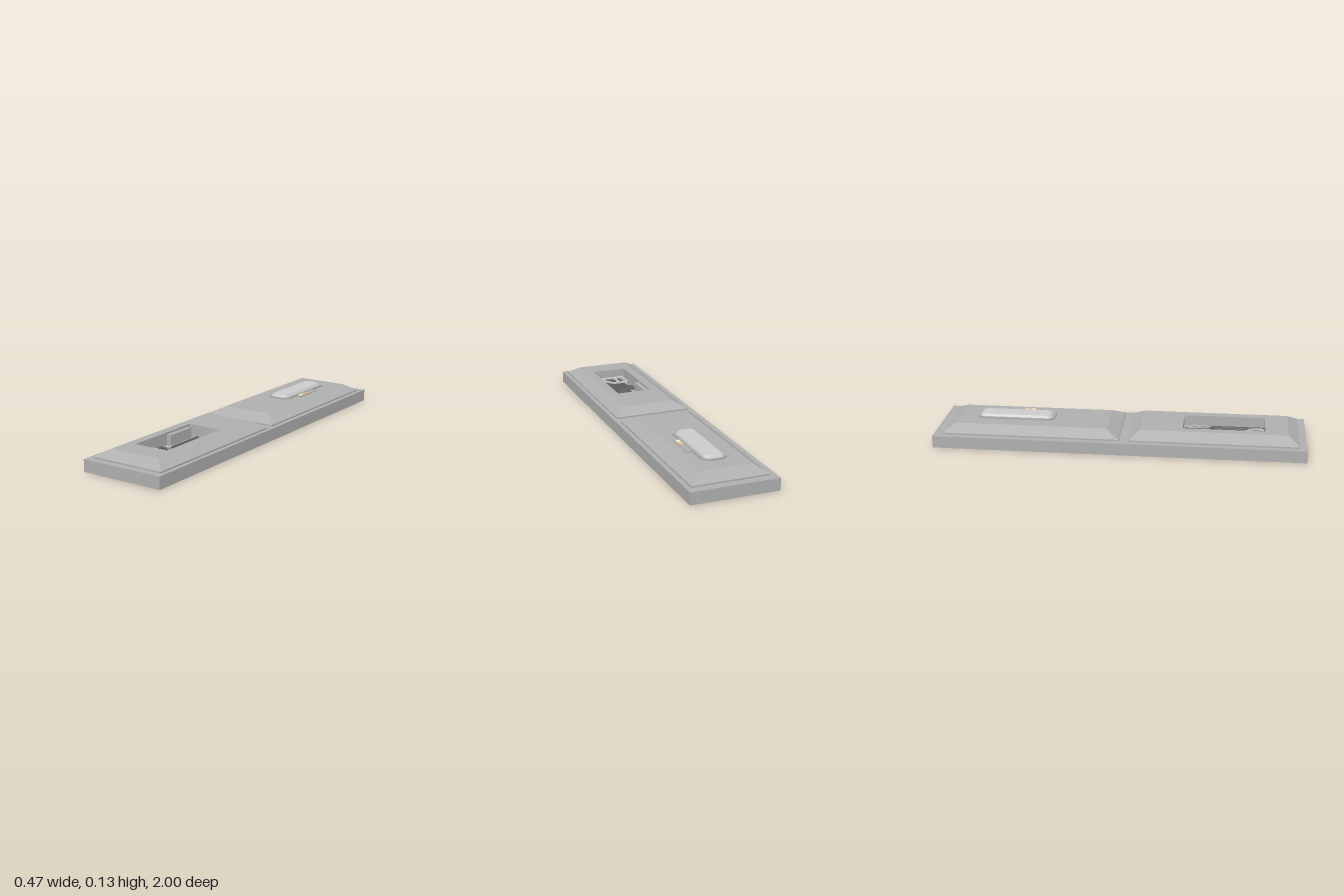
import * as THREE from 'three';

const body = new THREE.MeshStandardMaterial({ color: 0xafafaf, flatShading: true });
const grey = new THREE.MeshStandardMaterial({ color: 0xcccccc, flatShading: true });
const dark = new THREE.MeshStandardMaterial({ color: 0x606060, side: THREE.DoubleSide });
const orange = new THREE.MeshStandardMaterial({ color: 0xf6c48c });
const cream = new THREE.MeshStandardMaterial({ color: 0xf4f0cc });

// Skin through rectangular rings [x0, x1, z0, z1, y], with optional end caps
function ringLoft(rings, capBottom, capTop) {
  const pos = [];
  const loops = rings.map(([x0, x1, z0, z1, y]) => [[x0, y, z1], [x1, y, z1], [x1, y, z0], [x0, y, z0]]);
  const quad = (a, b, c, d) => pos.push(...a, ...b, ...c, ...a, ...c, ...d);
  for (let r = 0; r < loops.length - 1; r++) {
    for (let i = 0; i < 4; i++) {
      const j = (i + 1) % 4;
      quad(loops[r][i], loops[r][j], loops[r + 1][j], loops[r + 1][i]);
    }
  }
  if (capBottom) quad(...[...loops[0]].reverse());
  if (capTop) quad(...loops[loops.length - 1]);
  const g = new THREE.BufferGeometry();
  g.setAttribute('position', new THREE.Float32BufferAttribute(pos, 3));
  g.computeVertexNormals();
  return g;
}

// Flat plate from an outline of [x, z] points, with optional holes
function plate(outline, y0, y1, holes = []) {
  const points = (list) => list.map(([x, z]) => new THREE.Vector2(x, -z));
  const s = new THREE.Shape(points(outline));
  s.holes = holes.map((h) => new THREE.Path(points(h)));
  const g = new THREE.ExtrudeGeometry(s, { depth: y1 - y0, bevelEnabled: false });
  g.rotateX(-Math.PI / 2);
  g.translate(0, y0, 0);
  return g;
}

// Rectangle with cut corners
const cutRect = (x0, x1, z0, z1, c) => [
  [x0 + c, z1], [x1 - c, z1], [x1, z1 - c], [x1, z0 + c],
  [x1 - c, z0], [x0 + c, z0], [x0, z0 + c], [x0, z1 - c],
];

// Cut-corner plate whose sides slope in by the given amount
function slopedPlate(x0, x1, z0, z1, y0, y1, c, inset) {
  const g = plate(cutRect(x0, x1, z0, z1, c), y0, y1);
  const p = g.attributes.position, cx = (x0 + x1) / 2, cz = (z0 + z1) / 2;
  const sx = 1 - 2 * inset / (x1 - x0), sz = 1 - 2 * inset / (z1 - z0);
  for (let i = 0; i < p.count; i++) {
    if (p.getY(i) < (y0 + y1) / 2) continue;
    p.setX(i, cx + (p.getX(i) - cx) * sx);
    p.setZ(i, cz + (p.getZ(i) - cz) * sz);
  }
  g.computeVertexNormals();
  return g;
}

// Pipe along straight runs through [x, z] points, with rounded bends
function pipeRun(points, y, radius, sides) {
  const path = new THREE.CurvePath();
  const v = points.map(([x, z]) => new THREE.Vector3(x, y, z));
  const cut = 0.012;
  let start = v[0];
  for (let i = 1; i < v.length - 1; i++) {
    const into = v[i].clone().add(v[i - 1].clone().sub(v[i]).setLength(cut));
    const out = v[i].clone().add(v[i + 1].clone().sub(v[i]).setLength(cut));
    path.add(new THREE.LineCurve3(start, into));
    path.add(new THREE.QuadraticBezierCurve3(into, v[i], out));
    start = out;
  }
  path.add(new THREE.LineCurve3(start, v[v.length - 1]));
  return new THREE.TubeGeometry(path, 48, radius, sides, false);
}

export function createModel() {
  const model = new THREE.Group();
  const add = (name, geometry, material = body, parent = model) => {
    const m = new THREE.Mesh(geometry, material);
    m.name = name;
    parent.add(m);
    return m;
  };
  const box = (name, x0, x1, y0, y1, z0, z1, material = body, parent = model) => {
    const m = add(name, new THREE.BoxGeometry(x1 - x0, y1 - y0, z1 - z0), material, parent);
    m.position.set((x0 + x1) / 2, (y0 + y1) / 2, (z0 + z1) / 2);
  };

  const pit = [-0.09, 0.105, 0.34, 0.78];
  const floorY = 0.034, deck = 0.066, lip = 0.074, top = 0.112;

  // Base slab with a sunken service pit
  add('base', ringLoft([
    [-0.235, 0.235, -1, 1, 0], [-0.235, 0.235, -1, 1, deck],
    [...pit, deck], [...pit, floorY],
  ], true, true));

  // Raised panels with sloped edges, the front one open over the pit
  add('rearPanel', ringLoft([
    [-0.2, 0.21, -0.953, 0.003, deck], [-0.2, 0.21, -0.953, 0.003, lip],
    [-0.14, 0.14, -0.887, -0.067, top],
  ], false, true));
  add('frontPanel', ringLoft([
    [-0.203, 0.213, 0.056, 0.962, deck], [-0.203, 0.213, 0.056, 0.962, lip],
    [-0.138, 0.153, 0.114, 0.903, top], [...pit, top], [...pit, deck],
  ], false, false));

  // Corner screws, nearly flush
  for (const z of [-0.872, -0.093, 0.142, 0.878]) {
    for (const x of [-0.12, z < 0 ? 0.112 : 0.128]) {
      add('screw', new THREE.CylinderGeometry(0.01, 0.01, 0.001, 12)).position.set(x, top, z);
    }
  }

  // Long raised cover on the rear panel
  const cover = new THREE.Group();
  cover.name = 'cover';
  model.add(cover);
  add('coverPlate', plate(cutRect(-0.061, 0.071, -0.79, -0.365, 0.026), top, 0.121), body, cover);
  add('coverCap', slopedPlate(-0.048, 0.056, -0.777, -0.378, 0.121, 0.132, 0.018, 0.009), grey, cover);

  // Switch tray and its two buttons
  box('switchTray', 0.05, 0.102, top, 0.117, -0.645, -0.465);
  box('orangeButton', 0.076, 0.095, 0.116, 0.121, -0.551, -0.522, orange);
  box('creamButton', 0.076, 0.095, 0.116, 0.121, -0.515, -0.487, cream);

  // Fittings inside the pit
  const fittings = new THREE.Group();
  fittings.name = 'pitFittings';
  model.add(fittings);
  box('sidePlate', -0.09, -0.05, floorY, 0.044, 0.34, 0.57, body, fittings);
  box('uprightBox', -0.09, -0.065, 0.044, 0.1, 0.355, 0.53, body, fittings);
  box('boltPlate', 0.055, 0.105, floorY, 0.056, 0.34, 0.47, body, fittings);
  for (const z of [0.395, 0.447]) {
    add('bolt', new THREE.CylinderGeometry(0.013, 0.013, 0.01, 12), body, fittings).position.set(0.079, 0.06, z);
  }

  // Pipes
  const pipes = [
    [[-0.037, 0.34], [-0.037, 0.555], [-0.008, 0.585], [-0.008, 0.78]],
    [[-0.014, 0.34], [-0.014, 0.53], [0.013, 0.56], [0.013, 0.78]],
    [[0.008, 0.34], [0.008, 0.505], [0.034, 0.535], [0.034, 0.78]],
    [[-0.09, 0.59], [-0.05, 0.59], [-0.031, 0.62], [-0.031, 0.78]],
    [[-0.09, 0.628], [-0.072, 0.628], [-0.053, 0.655], [-0.053, 0.78]],
  ];
  for (const p of pipes) add('pipe', pipeRun(p, 0.045, 0.009, 8), dark, fittings);
  add('largePipe', pipeRun([[0.036, 0.34], [0.036, 0.485], [0.078, 0.495], [0.078, 0.78]], 0.05, 0.015, 10), dark, fittings);

  // Flat guard frame over the pipe ends
  add('guardFrame', plate(
    [[-0.075, 0.775], [0.058, 0.775], [0.058, 0.715], [0.014, 0.665], [-0.075, 0.665]], 0.06, 0.068,
    [
      [[-0.065, 0.765], [-0.025, 0.765], [-0.025, 0.676], [-0.065, 0.676]],
      [[-0.014, 0.765], [0.048, 0.765], [0.048, 0.719], [0.01, 0.676], [-0.014, 0.676]],
    ],
  ), grey, fittings);

  return model;
}
